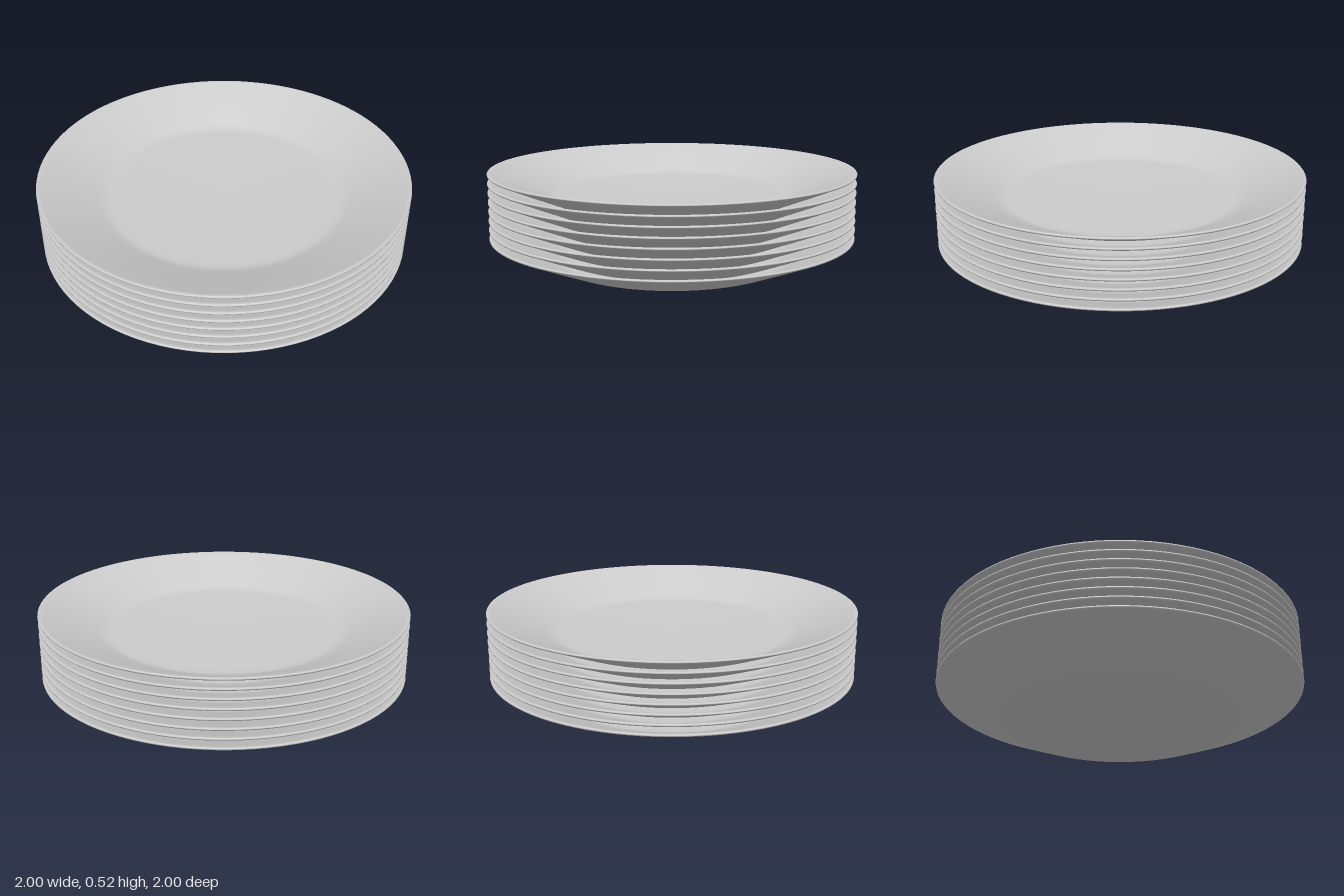
import * as THREE from 'three';

const PLATE_COUNT = 8;
const SPACING = 0.05;

// Cross-section: underside from the centre out, round the lip, then back along the top
const PROFILE = [
  [0, 0], [0.3, 0.005], [0.6, 0.01], [0.635, 0.011], [0.655, 0.015], [0.68, 0.025],
  [0.84, 0.092], [0.98, 0.152], [0.993, 0.157], [0.999, 0.162], [1, 0.166],
  [0.997, 0.17], [0.99, 0.171], [0.975, 0.167],
  [0.83, 0.107], [0.69, 0.048], [0.665, 0.038], [0.645, 0.032], [0.62, 0.029],
  [0.58, 0.028], [0.3, 0.024], [0, 0.02],
];

export function createModel() {
  const stack = new THREE.Group();
  stack.name = 'plateStack';
  const material = new THREE.MeshStandardMaterial({ color: 0xcccccc });
  const points = PROFILE.map(([r, y]) => new THREE.Vector2(r, y));
  const geometry = new THREE.LatheGeometry(points, 96);

  // Identical plates nested one above the other
  for (let i = 0; i < PLATE_COUNT; i++) {
    const plate = new THREE.Mesh(geometry, material);
    plate.name = `plate${i + 1}`;
    plate.position.y = i * SPACING;
    stack.add(plate);
  }
  return stack;
}
